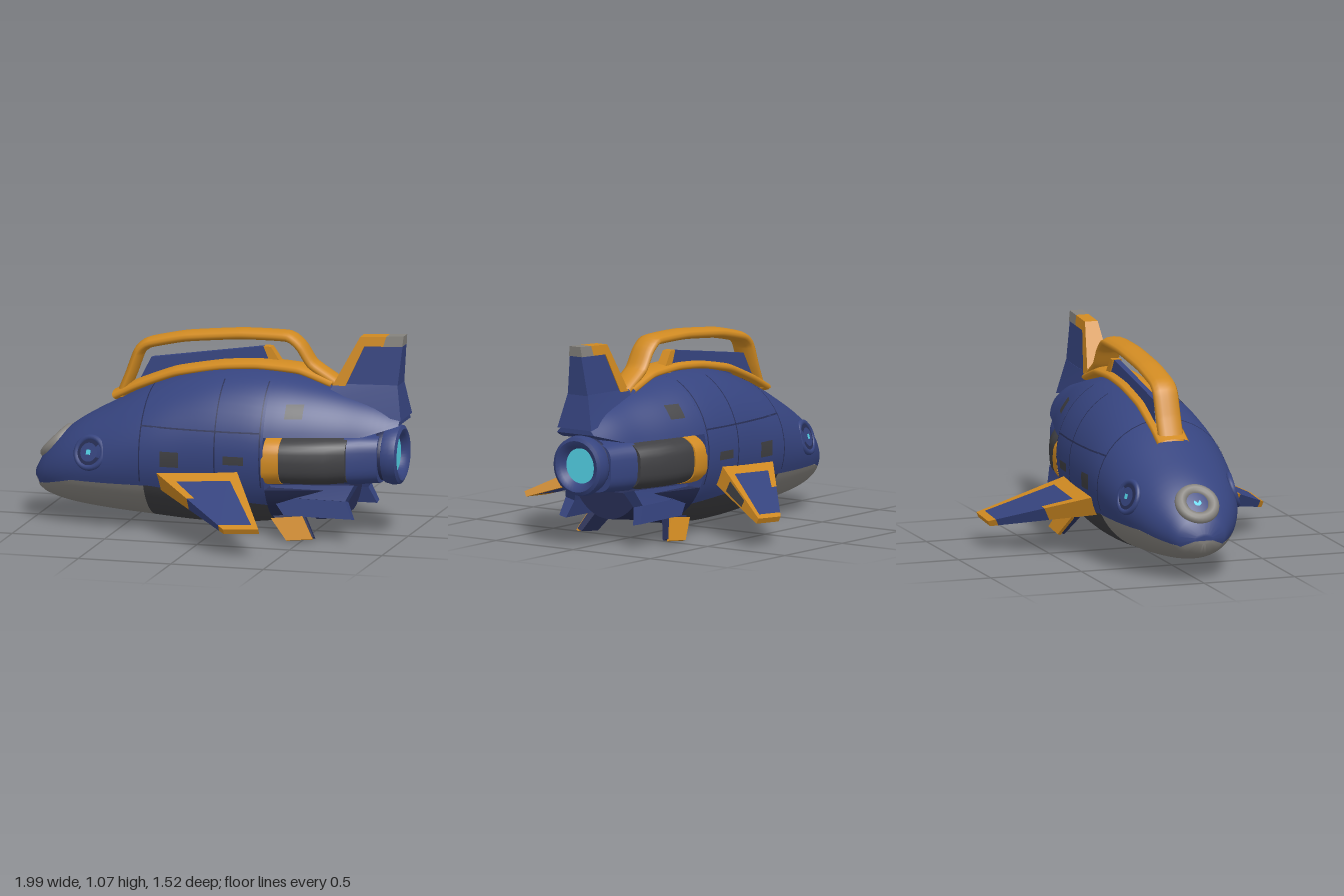
import * as THREE from 'three';
import { toCreasedNormals } from 'three/addons/utils/BufferGeometryUtils.js';

const material = (name, color, side = THREE.FrontSide) => {
  const m = new THREE.MeshStandardMaterial({ color, side });
  m.name = name;
  return m;
};
const V = (x, y, z = 0) => new THREE.Vector3(x, y, z);

// Hull profile: x, then top, bottom, half width
const HULL = [
  [-1, .27, .21, .05], [-.97, .33, .16, .115], [-.9, .42, .125, .185], [-.8, .51, .1, .25],
  [-.6, .63, .075, .32], [-.35, .755, .055, .36], [-.1, .835, .038, .368], [.1, .86, .04, .367],
  [.3, .855, .06, .352], [.5, .82, .1, .305], [.7, .77, .13, .25], [.85, .73, .16, .215], [1, .67, .2, .17],
];
const hullCurve = new THREE.CubicInterpolant(HULL.map(r => r[0]), HULL.flatMap(r => r.slice(1)), 3);
const SEAM = [[-1, .232], [-.96, .2], [-.88, .222], [-.75, .258], [-.3, .267], [.05, .215], [.35, .18]];
const seamCurve = new THREE.LinearInterpolant(SEAM.map(r => r[0]), SEAM.map(r => r[1]), 1);
const hullAt = x => {
  const [top, bot, w] = hullCurve.evaluate(x);
  return { cy: (top + bot) / 2, h: (top - bot) / 2, w };
};
const angleAt = (x, y) => {
  const { cy, h } = hullAt(x);
  return Math.asin(THREE.MathUtils.clamp((y - cy) / h, -1, 1));
};
const hullPoint = (x, a, grow = 0) => {
  const { cy, h, w } = hullAt(x);
  return V(x, cy + (h + grow) * Math.sin(a), (w + grow) * Math.cos(a));
};

// Closed solid through rings of points, ordered by x
function loft(rings) {
  const n = rings[0].length, pos = [], index = [];
  rings.flat().forEach(p => pos.push(p.x, p.y, p.z));
  for (let i = 0; i < rings.length - 1; i++) for (let j = 0; j < n; j++) {
    const a = i * n + j, b = i * n + (j + 1) % n;
    index.push(a, a + n, b + n, a, b + n, b);
  }
  [rings[0], rings.at(-1)].forEach((ring, end) => {
    const c = ring.reduce((s, p) => s.add(p), V(0, 0)).divideScalar(n);
    const base = end ? (rings.length - 1) * n : 0, ci = pos.length / 3;
    pos.push(c.x, c.y, c.z);
    for (let j = 0; j < n; j++) {
      const a = base + j, b = base + (j + 1) % n;
      index.push(ci, end ? b : a, end ? a : b);
    }
  });
  const g = new THREE.BufferGeometry();
  g.setAttribute('position', new THREE.Float32BufferAttribute(pos, 3));
  g.setIndex(index);
  return toCreasedNormals(g, .6);
}

// Part of the hull above or below a seam height
function hullPiece(x0, x1, seam, upper, steps = 20, n = 36) {
  return loft(Array.from({ length: steps + 1 }, (_, i) => {
    const x = x0 + (x1 - x0) * i / steps, a = angleAt(x, seam(x));
    const [s, e] = upper ? [a, Math.PI - a] : [Math.PI - a, 2 * Math.PI + a];
    return Array.from({ length: n + 1 }, (_, j) => hullPoint(x, s + (e - s) * j / n));
  }));
}

// Thin plate lying on the +z side of the hull
function hullPatch(x0, x1, y0, y1, grow = .005) {
  const g = new THREE.PlaneGeometry(1, 1, 4, 12), p = g.attributes.position;
  for (let i = 0; i < p.count; i++) {
    const x = x0 + (x1 - x0) * (p.getX(i) + .5);
    const a0 = angleAt(x, y0), a1 = angleAt(x, y1);
    const q = hullPoint(x, a0 + (a1 - a0) * (p.getY(i) + .5), grow);
    p.setXYZ(i, q.x, q.y, q.z);
  }
  g.computeVertexNormals();
  return g;
}

// Slab over part of a quad (a, b along u; d, c opposite), thickness t0 to t1 along v
function slab([a, b, c, d], t0, t1, u0 = 0, u1 = 1, v0 = 0, v1 = 1) {
  const g = new THREE.BoxGeometry(1, 1, 1), p = g.attributes.position;
  const normal = b.clone().sub(a).cross(d.clone().sub(a)).normalize();
  for (let i = 0; i < p.count; i++) {
    const u = u0 + (u1 - u0) * (p.getX(i) + .5), v = v0 + (v1 - v0) * (p.getY(i) + .5);
    const q = a.clone().lerp(b, u).lerp(d.clone().lerp(c, u), v);
    q.addScaledVector(normal, p.getZ(i) * (t0 + (t1 - t0) * v));
    p.setXYZ(i, q.x, q.y, q.z);
  }
  g.computeVertexNormals();
  return g;
}

export function createModel() {
  const root = new THREE.Group();
  root.name = 'fishShip';
  const blue = material('hull blue', 0x36447f), navy = material('dark blue', 0x272e55, THREE.DoubleSide);
  const orange = material('orange trim', 0xd08a22), gray = material('light gray', 0x86837e);
  const dark = material('dark gray', 0x3f3f42, THREE.DoubleSide), cyan = material('cyan glow', 0x58dcf2);
  const add = (name, geo, mat, parent = root) => {
    const m = new THREE.Mesh(geo, mat);
    m.name = name;
    parent.add(m);
    return m;
  };

  // Hull
  const seam = x => seamCurve.evaluate(x)[0];
  add('upperHull', hullPiece(-1, .31, seam, true, 32), blue);
  add('chin', hullPiece(-1, -.34, seam, false), gray);
  add('belly', hullPiece(-.34, .31, seam, false), dark);
  add('rearShell', hullPiece(.31, .98, x => .56 + Math.max(0, x - .8) * .3, true), blue);
  add('rearKeel', hullPiece(.31, .7, () => .275, false), navy);

  // Engine housing: rounded-box rings with x, half height, half width
  const ring = ([x, h, w]) => Array.from({ length: 40 }, (_, j) => {
    const a = j / 20 * Math.PI, s = Math.sin(a), c = Math.cos(a);
    return V(x, .425 + Math.sign(s) * h * Math.abs(s) ** .6, Math.sign(c) * w * Math.abs(c) ** .6);
  });
  const housing = (name, mat, rows) => add(name, loft(rows.map(ring)), mat);
  housing('engineCollar', orange, [[.3, .145, .352], [.33, .145, .352], [.39, .14, .342]]);
  housing('engineHousing', dark, [[.39, .14, .333], [.5, .14, .32], [.62, .138, .28], [.72, .13, .23]]);
  housing('engineCone', blue, [[.7, .14, .22], [.78, .138, .185], [.87, .13, .15]]);

  // Nozzle
  const lathe = pts => new THREE.LatheGeometry(pts.map(p => new THREE.Vector2(...p)), 40).rotateZ(-Math.PI / 2);
  add('nozzleBand', lathe([[.13, 0], [.14, .01], [.14, .05], [.12, .06]]), navy).position.set(.84, .44, 0);
  const nozzle = [[.12, 0], [.15, .01], [.16, .05], [.153, .085], [.135, .095], [.108, .085], [.09, .05]];
  add('nozzle', toCreasedNormals(lathe(nozzle), .8), blue).position.set(.88, .44, 0);
  add('engineGlow', new THREE.CircleGeometry(.095, 32).rotateY(Math.PI / 2), cyan).position.set(.935, .44, 0);

  // Carrying handle and its base rail
  const bar = (name, pts, r, wide) => {
    const curve = new THREE.CatmullRomCurve3(pts.map(p => V(...p)), false, 'catmullrom', .25);
    const m = add(name, new THREE.TubeGeometry(curve, 60, r, 12), orange);
    m.scale.z = wide;
    m.position.z = -.02;
  };
  bar('handle', [[-.55, .67], [-.5, .79], [-.455, .91], [-.4, .955], [-.2, 1], [.1, 1.03], [.35, 1.03], [.42, .98], [.48, .89], [.62, .8]], .029, 2.4);
  bar('handleRail', [[-.58, .67], [-.45, .735], [-.25, .812], [0, .86], [.2, .875], [.42, .862], [.6, .8]], .027, 3.3);
  add('dorsalFin', slab([V(-.46, .75, -.05), V(.27, .86, -.05), V(.22, .965, -.05), V(-.4, .87, -.05)], .05, .03), blue);
  add('dorsalFinEdge', slab([V(.26, .85, -.05), V(.32, .86, -.05), V(.25, .965, -.05), V(.21, .965, -.05)], .06, .05), orange);

  // Tail fin
  add('tailBase', slab([V(.56, .72), V(.99, .64), V(.96, .82), V(.62, .81)], .22, .13), blue);
  const tail = [V(.61, .8), V(.96, .81), V(.985, 1.075), V(.75, 1.06)];
  add('tailFin', slab(tail, .13, .06, .2, 1, 0, .8), blue);
  add('tailLeadingEdge', slab(tail, .14, .07, 0, .2, 0, .8), orange);
  add('tailTop', slab(tail, .14, .07, 0, .6, .8, 1), orange);
  add('tailTip', slab(tail, .14, .07, .6, 1, .8, 1), gray);

  // Paired parts, mirrored across z
  for (const side of [1, -1]) {
    const half = new THREE.Group();
    half.name = side > 0 ? 'frontSide' : 'backSide';
    half.scale.z = side;
    root.add(half);

    // Side wing with trimmed edges
    const wing = [V(-.3, .31, .3), V(.16, .34, .3), V(.405, .152, .752), V(.215, .14, .755)];
    const cell = (name, mat, ...uv) => add(name, slab(wing, .11, .03, ...uv), mat, half);
    cell('wingRoot', orange, 0, 1, 0, .22);
    cell('wingLeadingEdge', orange, 0, .13, .22, .5);
    cell('wingFrontPanel', blue, 0, .13, .5, .93);
    cell('wingPanel', blue, .13, .86, .22, .93);
    cell('wingTrailingEdge', orange, .86, 1, .22, .93);
    cell('wingTip', orange, 0, 1, .93, 1);
    add('wingFlapSlot', slab(wing, .075, .02, 1, 1.008, .3, .65), dark, half);

    // Lower rear fin
    add('lowerFin', slab([V(.4, .13, .235), V(.77, .13, .24), V(.73, .22, .22), V(.33, .22, .215)], .045, .06), blue, half);
    add('lowerFinTop', slab([V(.33, .22, .215), V(.73, .22, .22), V(.77, .3, .19), V(.32, .28, .2)], .06, .07), blue, half);
    add('lowerFinCore', slab([V(.43, .015, .277), V(.572, .03, .277), V(.505, .14, .227), V(.34, .12, .227)], .03, .04), navy, half);
    add('lowerFinTip', slab([V(.425, .01, .294), V(.568, .025, .294), V(.5, .135, .252), V(.33, .115, .252)], .016, .016), orange, half);

    // Side eye
    const eye = new THREE.Group();
    eye.name = 'sideEye';
    eye.position.set(-.64, .415, .288);
    eye.lookAt(-.9, .72, 1.238);
    half.add(eye);
    add('eyeRim', new THREE.TorusGeometry(.08, .016, 10, 32), blue, eye);
    add('eyeSocket', new THREE.CircleGeometry(.078, 32), navy, eye).position.z = .01;
    add('eyeDisc', new THREE.CircleGeometry(.05, 32), blue, eye).position.z = .014;
    add('eyeLight', new THREE.PlaneGeometry(.026, .026), cyan, eye).position.z = .018;

    // Hull plates and panel seams
    add('rearHatch', hullPatch(.41, .5, .65, .72), dark, half);
    add('sideHatch', hullPatch(-.24, -.14, .38, .46), dark, half);
    add('sidePlate', hullPatch(.1, .21, .41, .455), dark, half);
    for (const x of [-.36, .05, .29]) add('panelSeam', hullPatch(x, x + .007, .29, .82, .003), navy, half);
    add('lengthSeam', hullPatch(-.36, .29, .575, .583, .003), navy, half);
  }

  // Nose lens
  const lens = new THREE.Group();
  lens.name = 'noseLens';
  lens.position.set(-.89, .405, 0);
  lens.lookAt(-1.6, 1.1, 0);
  root.add(lens);
  add('lensRing', new THREE.TorusGeometry(.088, .032, 12, 32), gray, lens);
  add('lensSocket', new THREE.CircleGeometry(.085, 32), dark, lens).position.z = .012;
  add('lensLight', new THREE.CircleGeometry(.02, 20), cyan, lens).position.z = .017;
  return root;
}
